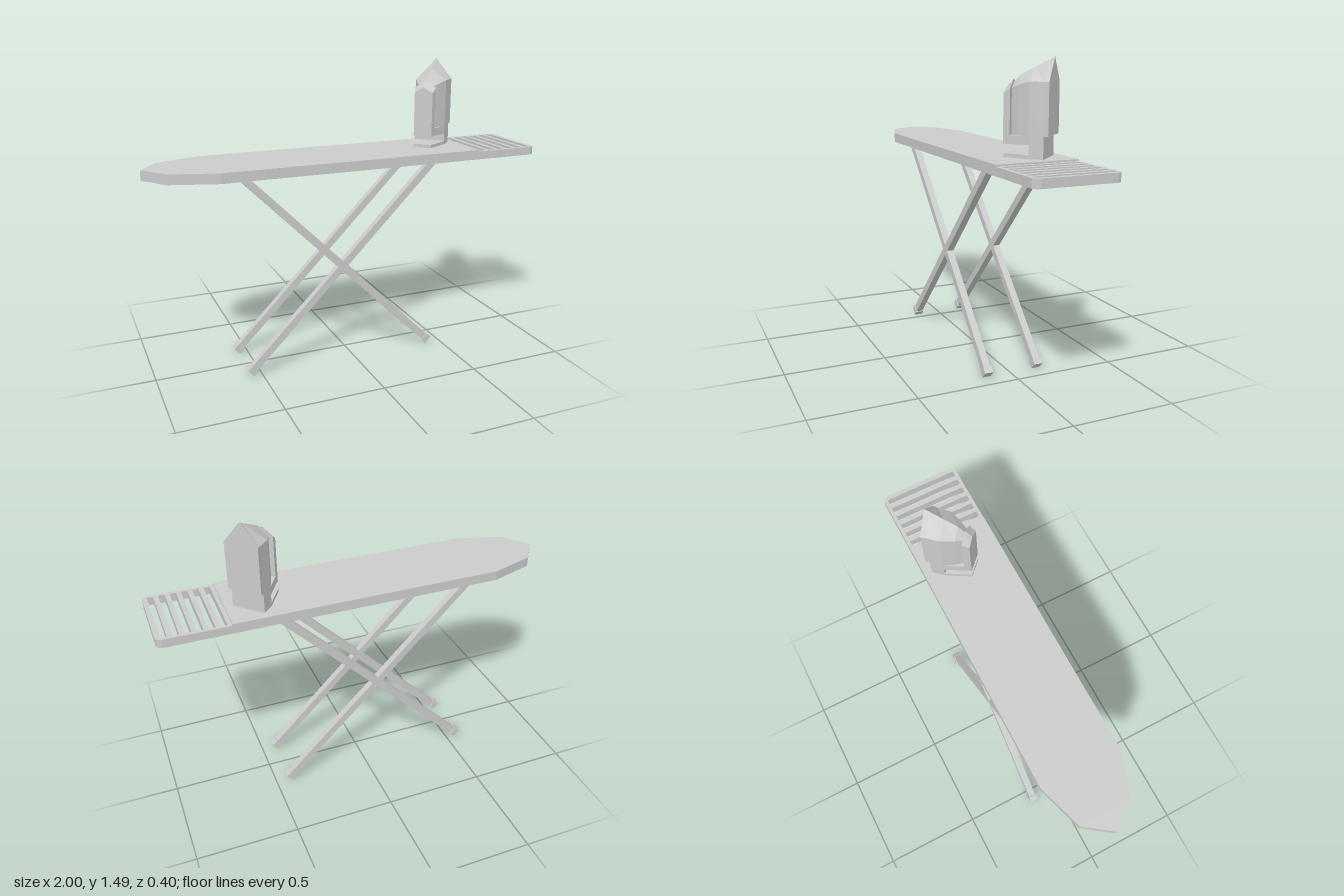
import * as THREE from 'three';
import { mergeGeometries } from 'three/addons/utils/BufferGeometryUtils.js';

const mat = new THREE.MeshStandardMaterial({ color: 0xcccccc, flatShading: true });
const sheetMat = new THREE.MeshStandardMaterial({ color: 0xcccccc, flatShading: true, side: THREE.DoubleSide });

function add(parent, name, geometry, material = mat) {
  const mesh = new THREE.Mesh(geometry, material);
  mesh.name = name;
  parent.add(mesh);
  return mesh;
}

// Flat-faced geometry from positions and triangle indices
function faceted(pos, idx) {
  const geo = new THREE.BufferGeometry();
  geo.setAttribute('position', new THREE.Float32BufferAttribute(pos, 3));
  geo.setIndex(idx);
  const flat = geo.toNonIndexed();
  flat.computeVertexNormals();
  return flat;
}

// Upright skirt along a path in x/z
function skirt(path, y0, y1) {
  const pos = path.flatMap(([x, z]) => [x, y0, z, x, y1, z]);
  const idx = [];
  for (let k = 0; k < path.length * 2 - 2; k += 2) {
    idx.push(k, k + 1, k + 3, k, k + 3, k + 2);
  }
  return faceted(pos, idx);
}

// Pressed tray, open underneath: top sheet plus skirts along the rim and holes
function tray(rim, y0, y1, holes = []) {
  const vec = (list) => list.map(([x, z]) => new THREE.Vector2(x, -z));
  const shape = new THREE.Shape(vec(rim));
  holes.forEach((h) => shape.holes.push(new THREE.Path(vec(h))));
  const top = new THREE.ShapeGeometry(shape).rotateX(-Math.PI / 2).translate(0, y1, 0).toNonIndexed();
  top.deleteAttribute('uv');
  return mergeGeometries([top, ...[rim, ...holes].map((path) => skirt(path, y0, y1))]);
}

// Solid between gabled cross-sections [depth, halfWidth, bottom, shoulder, ridge]
function gabledLoft(sections) {
  const pos = [];
  const idx = [];
  sections.forEach(([d, w, b, s, r]) => {
    pos.push(-w, b, d, w, b, d, w, s, d, 0, r, d, -w, s, d);
  });
  const last = (sections.length - 1) * 5;
  for (let k = 0; k < last; k += 5) {
    for (let i = 0; i < 5; i++) {
      const j = (i + 1) % 5;
      idx.push(k + i, k + j, k + 5 + j, k + i, k + 5 + j, k + 5 + i);
    }
  }
  for (let i = 1; i < 4; i++) {
    idx.push(0, i + 1, i, last, last + i, last + i + 1);
  }
  return faceted(pos, idx);
}

function buildIron() {
  const iron = new THREE.Group();
  iron.name = 'iron';
  add(iron, 'soleplate', gabledLoft([
    [0, 0.085, 1.157, 1.39, 1.495],
    [0.022, 0.083, 1.157, 1.39, 1.484],
  ]));
  add(iron, 'ironBody', gabledLoft([
    [0.022, 0.083, 1.055, 1.39, 1.484],
    [0.09, 0.081, 1.055, 1.39, 1.45],
  ]));
  // Neck narrows behind the grip, above a full-width foot
  add(iron, 'handleNeck', gabledLoft([
    [0.09, 0.081, 1.115, 1.39, 1.45],
    [0.15, 0.052, 1.115, 1.375, 1.42],
    [0.185, 0.03, 1.115, 1.36, 1.385],
  ]));
  add(iron, 'handleFoot', gabledLoft([
    [0.09, 0.081, 1.115, 1.155, 1.155],
    [0.185, 0.055, 1.115, 1.155, 1.155],
  ]));
  add(iron, 'grip', gabledLoft([
    [0.185, 0.055, 1.115, 1.36, 1.4],
    [0.218, 0.047, 1.115, 1.337, 1.365],
  ]));
  add(iron, 'heelPlate', gabledLoft([
    [0.022, 0.083, 1.055, 1.073, 1.073],
    [0.09, 0.081, 1.055, 1.073, 1.073],
    [0.218, 0.047, 1.055, 1.073, 1.073],
  ]));
  iron.position.set(0.576, 0, -0.12);
  iron.rotation.y = -Math.PI / 4;
  return iron;
}

export function createModel() {
  const model = new THREE.Group();
  model.name = 'ironingBoard';

  // Tapered board, hollow below
  add(model, 'boardTop', tray([
    [0.66, 0.202], [0.66, -0.202], [-0.68, -0.202], [-0.905, -0.13],
    [-1, 0], [-0.905, 0.13], [-0.68, 0.202], [0.66, 0.202],
  ], 1.007, 1.056), sheetMat);

  // Slotted rest at the square end, its rim open towards the board
  const slots = [];
  for (let i = 0; i < 6; i++) {
    const a = 0.68 + i * 0.0535;
    const b = a + 0.03;
    slots.push([[a, -0.185], [a, 0.185], [b, 0.185], [b, -0.185], [a, -0.185]]);
  }
  add(model, 'ironRest', tray([
    [0.66, 0.202], [0.975, 0.202], [0.993, 0.192], [1, 0.175],
    [1, -0.175], [0.993, -0.192], [0.975, -0.202], [0.66, -0.202],
  ], 1.007, 1.048, slots), sheetMat);

  // Two crossed pairs of legs with end caps
  const length = 1.4;
  for (const z of [0.125, -0.138]) {
    for (const side of [1, -1]) {
      const leg = new THREE.Group();
      leg.name = side > 0 ? 'legToRight' : 'legToLeft';
      add(leg, 'legBar', new THREE.BoxGeometry(0.037, length, 0.035)).position.y = length / 2 + 0.01;
      add(leg, 'footCap', new THREE.BoxGeometry(0.045, 0.034, 0.043)).position.y = 0.017;
      // Slight offset keeps the crossing faces from coinciding
      leg.position.set(-0.064 - side * 0.494, 0.016, z + side * -0.0005);
      leg.rotation.z = -side * Math.PI / 4;
      model.add(leg);
    }
  }

  model.add(buildIron());
  return model;
}
